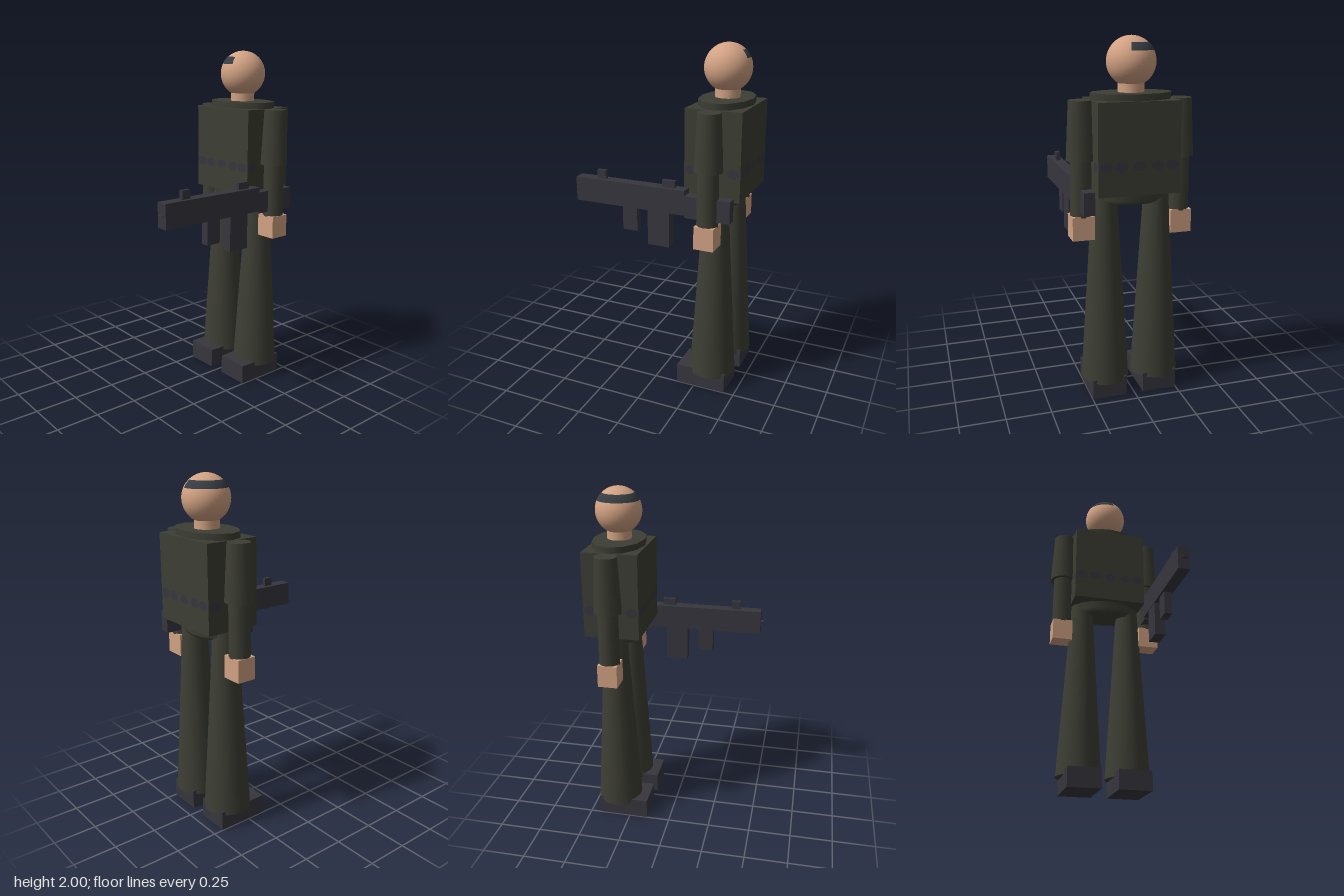
import * as THREE from 'three';

const uniform = new THREE.MeshStandardMaterial({ name: 'olive cloth', color: 0x3d3e34 });
const skin = new THREE.MeshStandardMaterial({ name: 'skin', color: 0xd2a283 });
const gear = new THREE.MeshStandardMaterial({ name: 'dark gear', color: 0x37363e });
const bandMat = new THREE.MeshStandardMaterial({ name: 'slate band', color: 0x363c42 });

const BODY_Z = -0.33;

export function createModel() {
  const model = new THREE.Group();
  model.name = 'soldier';

  const add = (name, geometry, material, x, y, z, parent = model) => {
    const mesh = new THREE.Mesh(geometry, material);
    mesh.name = name;
    mesh.position.set(x, y, z);
    parent.add(mesh);
    return mesh;
  };
  // Box given by its extents on y and z, centred on x
  const box = (name, material, x, w, y0, y1, z0, z1, parent) =>
    add(name, new THREE.BoxGeometry(w, y1 - y0, z1 - z0), material,
      x, (y0 + y1) / 2, (z0 + z1) / 2, parent);
  // Upright tapered cylinder on the body axis
  const tube = (name, material, x, rTop, rBottom, y0, y1, sides, parent) =>
    add(name, new THREE.CylinderGeometry(rTop, rBottom, y1 - y0, sides), material,
      x, (y0 + y1) / 2, BODY_Z, parent);

  // Head, neck and the slate band round its right side
  const R = 0.132;
  add('head', new THREE.SphereGeometry(R, 32, 24), skin, 0, 1.868, BODY_Z);
  add('headBand', new THREE.SphereGeometry(R + 0.001, 32, 8, -1.87, 3.74, 0.745, 0.38),
    bandMat, 0, 1.868, BODY_Z);
  tube('neck', skin, 0, 0.07, 0.07, 1.68, 1.78, 16);

  // Oval trunk whose ends show as collar and hips
  const profile = [[0, 1.12], [0.16, 1.12], [0.195, 1.145], [0.225, 1.67], [0.225, 1.71],
    [0.225, 1.71], [0, 1.71]].map(([r, y]) => new THREE.Vector2(r, y));
  const trunk = add('trunk', new THREE.LatheGeometry(profile, 12), uniform, 0, 0, BODY_Z);
  trunk.scale.z = 0.66;

  // Vest with a row of thin belt patches
  box('vest', uniform, 0, 0.45, 1.185, 1.675, -0.49, -0.17);
  const patch = (x, z, turn, rx) => {
    const mesh = add('beltPatch', new THREE.CircleGeometry(1, 16), gear, x, 1.342, z);
    mesh.scale.set(rx, 0.027, 1);
    mesh.rotation.y = turn;
  };
  for (const x of [-0.18, -0.1, 0, 0.1, 0.18]) {
    patch(x, -0.168, 0, 0.037);
    patch(x, -0.492, Math.PI, 0.037);
  }
  for (const side of [-1, 1])
    for (const z of [-0.21, -0.45]) patch(side * 0.227, z, side * Math.PI / 2, 0.035);

  // Arms and legs, once for each side
  for (const [label, s] of [['left', 1], ['right', -1]]) {
    const arm = new THREE.Group();
    arm.name = label + 'Arm';
    model.add(arm);
    tube('sleeve', uniform, s * 0.278, 0.064, 0.08, 1.36, 1.675, 12, arm);
    tube('forearm', uniform, s * 0.278, 0.058, 0.061, 1.055, 1.4, 12, arm);
    box('hand', skin, s * 0.278, 0.122, 0.93, 1.06, -0.387, -0.273, arm);

    const leg = new THREE.Group();
    leg.name = label + 'Leg';
    model.add(leg);
    tube('thigh', uniform, s * 0.148, 0.068, 0.102, 0.62, 1.18, 20, leg);
    tube('shin', uniform, s * 0.148, 0.102, 0.135, 0.09, 0.62, 20, leg);
    box('boot', gear, s * 0.148, 0.197, 0, 0.115, -0.44, -0.14, leg);
  }

  // Rifle held along the left side
  const rifle = new THREE.Group();
  rifle.name = 'rifle';
  model.add(rifle);
  const gx = 0.264;
  box('receiver', gear, gx, 0.07, 1.1, 1.24, -0.2, 0.47, rifle);
  box('stock', gear, gx, 0.06, 1.085, 1.21, -0.46, -0.2, rifle);
  box('magazine', gear, gx, 0.064, 0.895, 1.1, -0.11, 0.02, rifle);
  box('foregrip', gear, gx, 0.046, 0.96, 1.1, 0.09, 0.18, rifle);
  box('rearSight', gear, gx, 0.024, 1.24, 1.28, -0.135, -0.06, rifle);
  box('frontSight', gear, gx, 0.024, 1.24, 1.29, 0.29, 0.343, rifle);
  add('muzzle', new THREE.CylinderGeometry(0.02, 0.02, 0.006, 10), gear, gx, 1.17, 0.47, rifle);

  return model;
}
